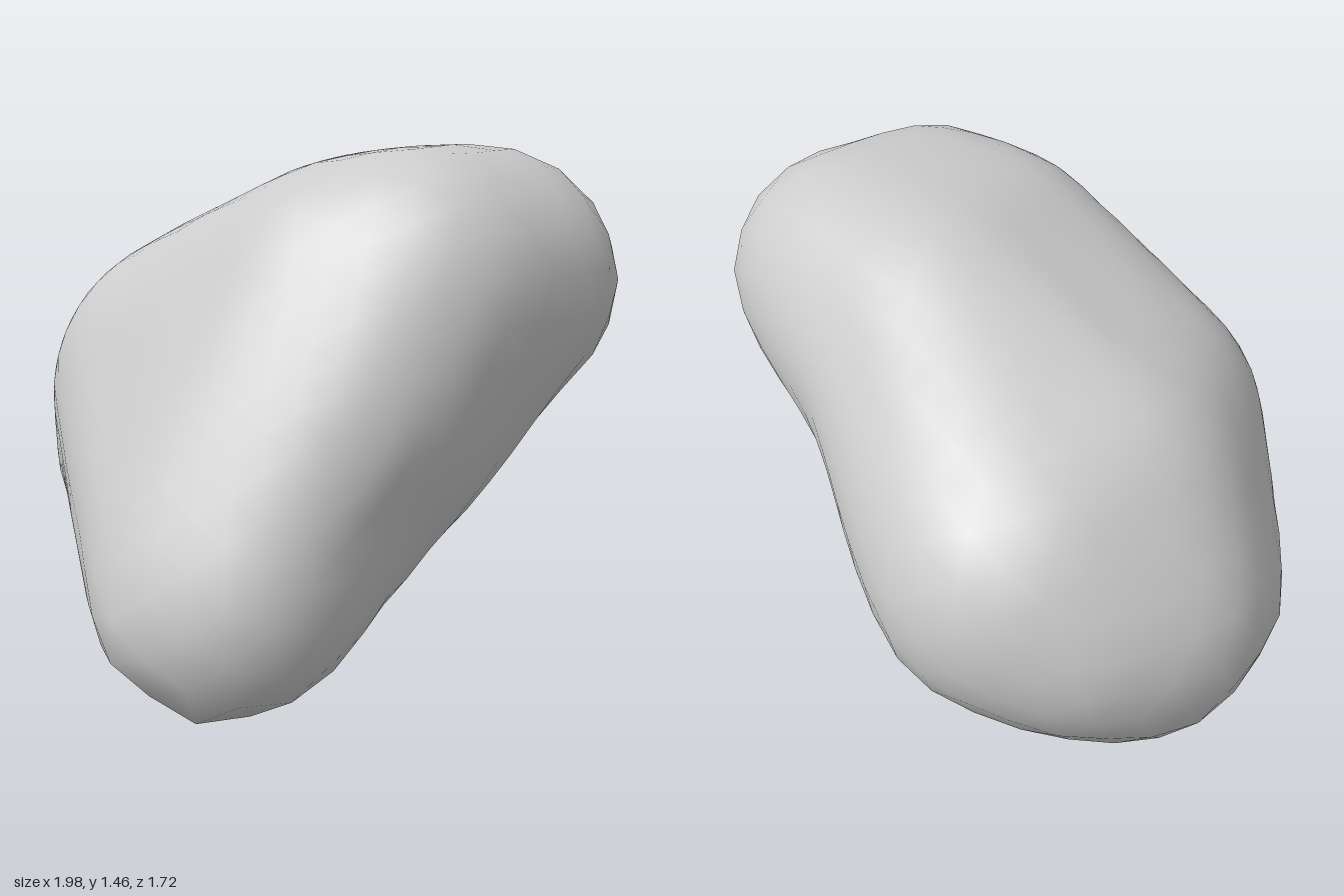
import * as THREE from 'three';
import { mergeVertices } from 'three/addons/utils/BufferGeometryUtils.js';

// Lobes of the rock as spheres: x, y, z, radius
const LOBES = [
  // upper lobe
  [0.58, 1.06, -0.29, 0.41], [0.6, 1.07, -0.03, 0.39], [0.42, 1.03, 0.06, 0.4],
  // side lobe
  [-0.42, 0.7, -0.41, 0.45], [-0.59, 0.56, -0.2, 0.41],
  [-0.56, 0.62, -0.35, 0.39], [-0.6, 0.52, -0.04, 0.33],
  // front foot
  [0.51, 0.3, 0.51, 0.29], [0.34, 0.37, 0.5, 0.33],
  [0.5, 0.17, 0.63, 0.17], [0.39, 0.26, 0.67, 0.2],
  // belly of the sloping face
  [-0.12, 0.72, 0.08, 0.5],
  // ridge between upper and side lobes
  [0.2, 1.02, -0.25, 0.43], [-0.38, 0.76, -0.15, 0.45],
];

// Shallow hollows between the lobes: x, y, z, depth, spread
const DENTS = [
  [-0.03, 0.1, 0.22, 0.07, 0.3],
  [-0.27, 0.22, 0.35, 0.04, 0.2],
  [0.2, 0.9, -0.7, 0.04, 0.3],
  [0.25, 0.5, -0.36, 0.09, 0.52],
  [0.75, 0.78, -0.42, 0.05, 0.27],
  [0.84, 0.45, 0.3, 0.04, 0.22],
];

function sphereDirections(detail) {
  const g = new THREE.IcosahedronGeometry(1, detail);
  g.deleteAttribute('normal');
  g.deleteAttribute('uv');
  return mergeVertices(g, 1e-4);
}

function rockGeometry() {
  const core = new THREE.Vector3(0.1, 0.72, 0);
  const lobes = LOBES.map(([x, y, z, r]) => ({ c: new THREE.Vector3(x, y, z).sub(core), r }));

  // Tangent planes wrapping all the lobes
  const planePos = sphereDirections(18).attributes.position;
  const planes = [];
  for (let i = 0; i < planePos.count; i++) {
    const n = new THREE.Vector3().fromBufferAttribute(planePos, i).normalize();
    planes.push({ n, h: Math.max(...lobes.map((l) => n.dot(l.c) + l.r)) });
  }

  // Push a ball out to the tight skin, then press in the hollows
  const geometry = sphereDirections(9);
  const pos = geometry.attributes.position;
  const d = new THREE.Vector3();
  const p = new THREE.Vector3();
  for (let i = 0; i < pos.count; i++) {
    d.fromBufferAttribute(pos, i).normalize();
    let radius = Infinity;
    for (const { n, h } of planes) {
      const k = d.dot(n);
      if (k > 0.05) radius = Math.min(radius, h / k);
    }
    p.copy(core).addScaledVector(d, radius);
    let press = 0;
    for (const [x, y, z, depth, spread] of DENTS) {
      const q = (p.x - x) ** 2 + (p.y - y) ** 2 + (p.z - z) ** 2;
      press += depth * Math.exp(-q / (spread * spread));
    }
    p.addScaledVector(d, -press);
    pos.setXYZ(i, p.x, p.y, p.z);
  }
  geometry.computeVertexNormals();
  return geometry;
}

export function createModel() {
  const group = new THREE.Group();
  group.name = 'boulder';
  const rock = new THREE.Mesh(rockGeometry(), new THREE.MeshStandardMaterial({ color: 0xcccccc }));
  rock.name = 'rock';
  group.add(rock);
  return group;
}
